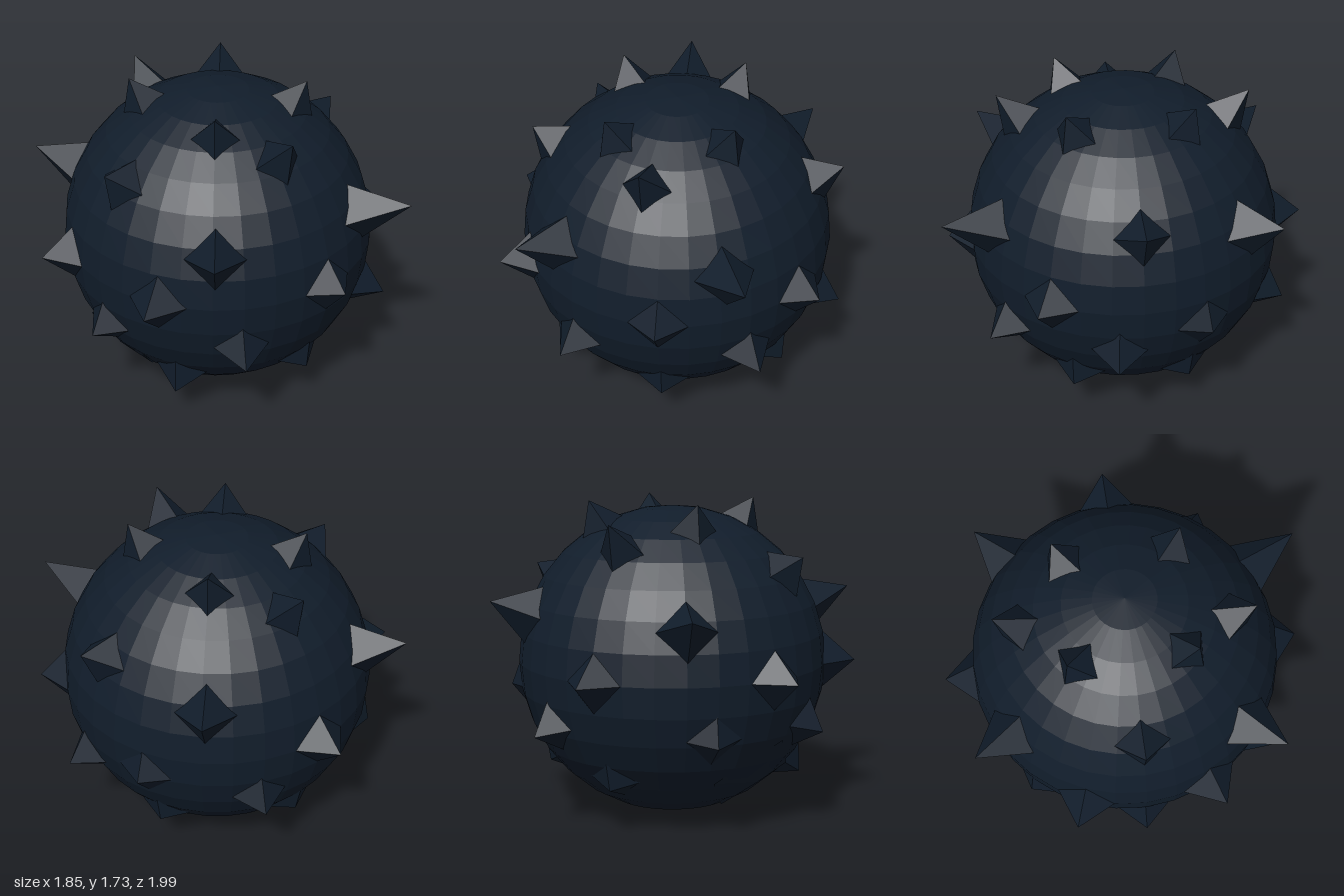
import * as THREE from 'three';

const CENTRE_Y = 0.85;
const RADIUS = 0.845;
const SUNK = 0.8; // distance from the centre to the buried spike bases

// Rings of spikes: half width where they leave the ball, height of the tips, then x, z of each tip
const rings = [
  { half: 0.12, y: 1.73, tips: [[0.33, 0.33], [-0.33, 0.33], [-0.33, -0.33], [0.33, -0.33]] },
  { half: 0.125, y: 1.64, tips: [[-0.11, 0.66], [0, -0.675]] },
  { half: 0.14, y: 1.45, tips: [[-0.78, 0]] },
  { half: 0.14, y: 1.33, tips: [[0.89, 0]] },
  { half: 0.155, y: 1.21, tips: [[0.45, 0.99], [-0.73, 0.755], [-0.58, -0.86], [0.7, -0.735]] },
  { half: 0.155, y: 0.85, tips: [[0, 0.96], [0.81, 0.54], [-0.91, 0.43], [-0.93, -0.38], [0, -1]] },
  { half: 0.15, y: 0.685, tips: [[0.83, -0.36]] },
  { half: 0.14, y: 0.53, tips: [[0.53, 0.78], [-0.53, 0.78], [0.92, 0.14], [-0.91, 0], [0.36, -0.84], [-0.6, -0.61]] },
  { half: 0.135, y: 0.25, tips: [[0, 0.71], [0.63, 0.35], [0.63, -0.28], [0, -0.68], [-0.6, -0.15]] },
  { half: 0.135, y: 0.2, tips: [[-0.63, 0.34]] },
];

export function createModel() {
  const group = new THREE.Group();
  group.name = 'spikedBall';
  const material = new THREE.MeshStandardMaterial({ color: 0x111d2b, flatShading: true });

  // Round body
  const ball = new THREE.Mesh(new THREE.SphereGeometry(RADIUS, 32, 16), material);
  ball.name = 'ball';
  ball.position.y = CENTRE_Y;
  group.add(ball);

  // Four-sided spikes pointing out from the centre, one edge turned upwards
  const spikes = new THREE.Group();
  spikes.name = 'spikes';
  spikes.position.y = CENTRE_Y;
  group.add(spikes);
  const up = new THREE.Vector3(0, 1, 0);

  for (const { half, y, tips } of rings) {
    for (const [x, z] of tips) {
      const out = new THREE.Vector3(x, y - CENTRE_Y, z);
      const reach = out.length();
      out.normalize();
      // widen the buried base so the spike has the wanted width at the ball's surface
      const surface = Math.sqrt(RADIUS * RADIUS - half * half);
      const base = half * (reach - SUNK) / (reach - surface);
      const spike = new THREE.Mesh(new THREE.ConeGeometry(base, reach - SUNK, 4), material);
      spike.name = 'spike';
      const side = new THREE.Vector3().crossVectors(out, up).normalize();
      const edge = new THREE.Vector3().crossVectors(side, out);
      spike.quaternion.setFromRotationMatrix(new THREE.Matrix4().makeBasis(side, out, edge.negate().negate()));
      if (new THREE.Matrix4().makeBasis(side, out, edge).determinant() < 0) {
        spike.quaternion.setFromRotationMatrix(new THREE.Matrix4().makeBasis(side.negate(), out, edge));
      }
      spike.position.copy(out).multiplyScalar((reach + SUNK) / 2);
      spikes.add(spike);
    }
  }
  return group;
}
